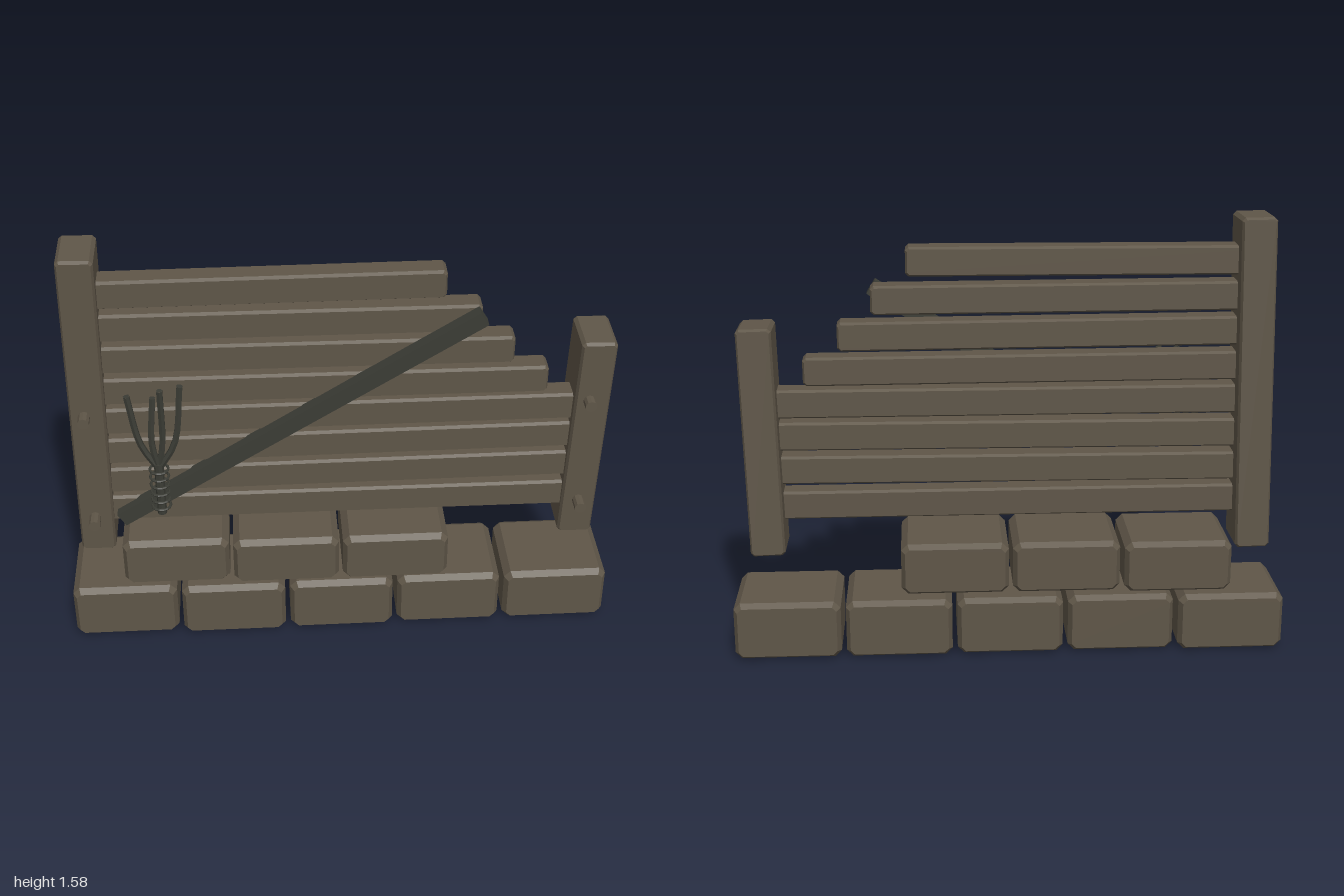
import * as THREE from 'three';

function material(name, color) {
  const m = new THREE.MeshStandardMaterial({ color });
  m.name = name;
  m.flatShading = true;
  return m;
}

// Box with every edge cut by a flat chamfer c, centred on the origin
function chamferBox(w, h, d, c) {
  const x = w / 2, y = h / 2;
  const shape = new THREE.Shape([
    [-x + c, -y], [x - c, -y], [x, -y + c], [x, y - c],
    [x - c, y], [-x + c, y], [-x, y - c], [-x, -y + c],
  ].map(([a, b]) => new THREE.Vector2(a, b)));
  const geo = new THREE.ExtrudeGeometry(shape, {
    depth: d - 2 * c, bevelEnabled: true, bevelSegments: 1,
    bevelThickness: c, bevelSize: c * 0.6, bevelOffset: -c * 0.6,
  });
  return geo.translate(0, 0, -d / 2 + c);
}

export function createModel() {
  const group = new THREE.Group();
  const weathered = material('weatheredBrown', 0x5f5648);
  const iron = material('darkIron', 0x3b3c35);

  function add(name, geo, mat, x, y, z, parent = group) {
    const mesh = new THREE.Mesh(geo, mat);
    mesh.name = name;
    mesh.position.set(x, y, z);
    parent.add(mesh);
    return mesh;
  }

  // Two courses of stone blocks
  const lowerZ = [-0.007, 0.005, 0, -0.007, -0.007];
  lowerZ.forEach((z, i) =>
    add('lowerBlock', chamferBox(0.385, 0.215, 0.342, 0.024), weathered, -0.807 + i * 0.4035, 0.1085, z));
  [-0.012, 0.005, 0.005].forEach((z, i) =>
    add('upperBlock', chamferBox(0.388, 0.19, 0.342, 0.024), weathered, -0.607 + i * 0.403, 0.331, z));

  // Leaning posts: geometry sheared so the top sits right and forward
  function post(name, x, h, tall) {
    const geo = chamferBox(0.125, h, 0.195, 0.012);
    const mesh = add(name, geo, weathered, x, 0.367 + h / 2, 0.015);
    mesh.rotation.set(0.025 / h, 0, -0.02 / h);
    return mesh;
  }
  post('tallPost', -0.88, 1.21);
  post('shortPost', 0.882, 0.835);

  // Fence planks: right end, centre height, tilt, from bottom to top
  const planks = [
    [0.85, 0.534, -0.001], [0.85, 0.663, 0.005], [0.85, 0.79, 0.005], [0.85, 0.914, 0.001],
    [0.73, 1.035, -0.003], [0.605, 1.162, -0.005], [0.485, 1.29, -0.003], [0.36, 1.422, 0.004],
  ];
  planks.forEach(([end, y, tilt]) => {
    const length = end + 0.86;
    const plank = add('plank', chamferBox(length, 0.104, 0.094, 0.012), weathered, end - length / 2, y, 0.034);
    plank.rotation.z = tilt;
  });

  // Diagonal brace across the front
  const from = new THREE.Vector3(-0.795, 0.51, 0.094);
  const to = new THREE.Vector3(0.485, 1.318, 0.108);
  const mid = from.clone().lerp(to, 0.5);
  const brace = add('diagonalBrace', new THREE.BoxGeometry(from.distanceTo(to), 0.056, 0.048), iron, mid.x, mid.y, mid.z);
  brace.quaternion.setFromUnitVectors(new THREE.Vector3(1, 0, 0), to.clone().sub(from).normalize());

  // Post bolts
  for (const x of [-0.891, 0.873]) for (const y of [0.52, 0.965]) {
    const bolt = add('bolt', new THREE.CylinderGeometry(0.021, 0.021, 0.06, 10), weathered, x, y, 0.131);
    bolt.rotation.x = Math.PI / 2;
  }

  // Forked branch lashed to the planks
  const fork = new THREE.Group();
  fork.name = 'forkedBranch';
  group.add(fork);
  add('stem', new THREE.CylinderGeometry(0.017, 0.017, 0.22, 8), iron, -0.647, 0.65, 0.118, fork);
  const prongs = [[-0.74, 1.045, 0.115, -0.705], [-0.652, 1.03, 0.107, -0.665],
    [-0.624, 1.075, 0.133, -0.628], [-0.555, 1.08, 0.115, -0.585]];
  for (const [x, y, z, bend] of prongs) {
    const curve = new THREE.CatmullRomCurve3([
      new THREE.Vector3(-0.647, 0.735, 0.118),
      new THREE.Vector3(bend, 0.845, 0.118),
      new THREE.Vector3(x, y, z),
    ]);
    add('prong', new THREE.TubeGeometry(curve, 8, 0.012, 6), iron, 0, 0, 0, fork);
    const tip = add('prongTip', new THREE.CircleGeometry(0.012, 6), iron, x, y, z, fork);
    tip.quaternion.setFromUnitVectors(new THREE.Vector3(0, 0, 1), curve.getTangent(1));
  }
  for (let i = 0; i < 6; i++) {
    const ring = add('lashing', new THREE.TorusGeometry(0.033, 0.005, 6, 14), iron, -0.647, 0.575 + i * 0.032, 0.118, fork);
    ring.rotation.x = Math.PI / 2;
  }
  return group;
}
